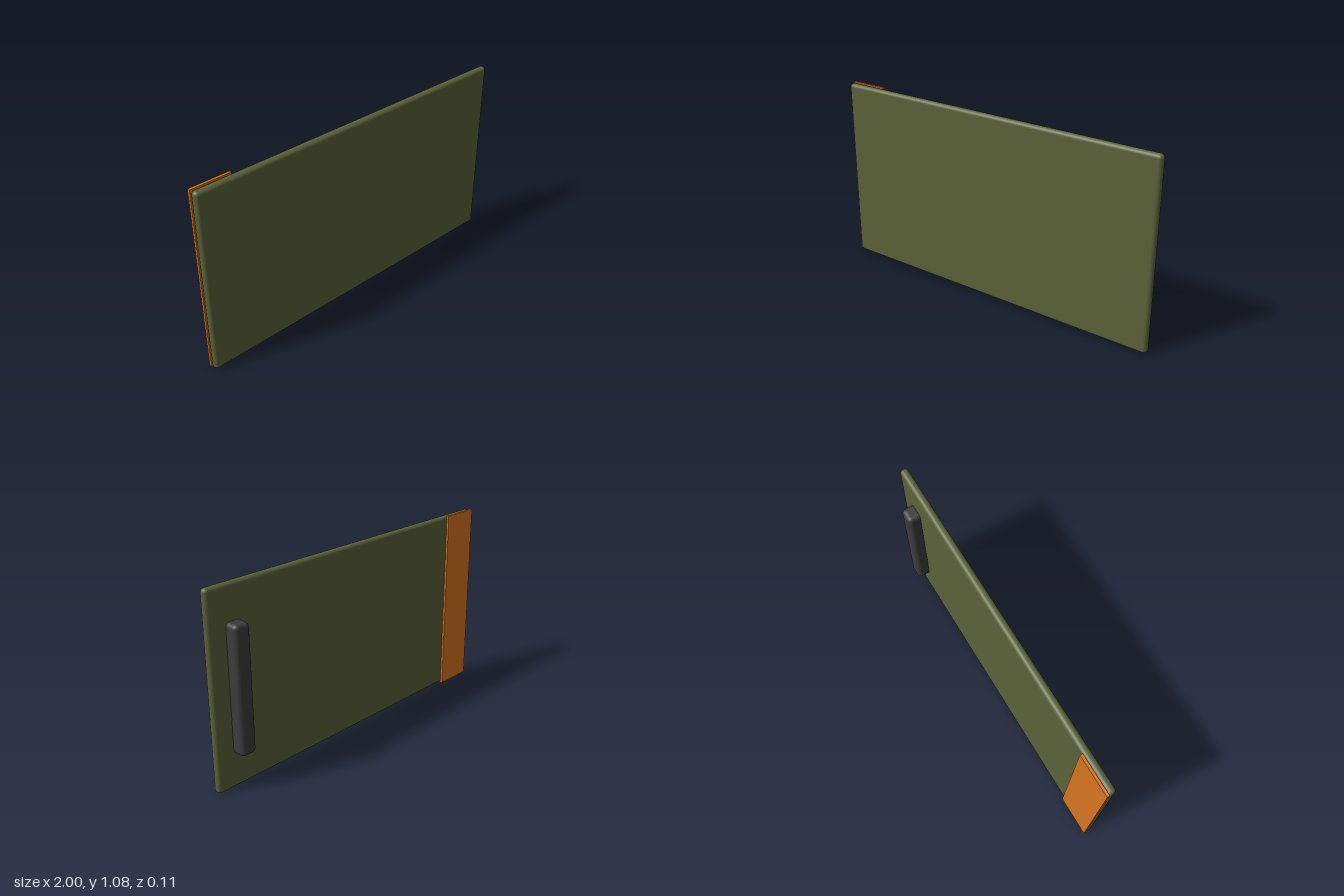
import * as THREE from 'three';
import { RoundedBoxGeometry } from 'three/addons/geometries/RoundedBoxGeometry.js';

// Places a geometry as a named, coloured mesh
function part(name, geometry, color, x, y, z) {
  const mesh = new THREE.Mesh(geometry, new THREE.MeshStandardMaterial({ color }));
  mesh.name = name;
  mesh.position.set(x, y, z);
  return mesh;
}

export function createModel() {
  const group = new THREE.Group();
  group.name = 'slidingPanel';

  // Large panel with softly rounded edges
  group.add(part('panel', new RoundedBoxGeometry(1.998, 1.074, 0.045, 4, 0.021), 0x5b623a, 0, 0.539, 0.035));

  // Flat strip along one edge of the back
  group.add(part('edgeStrip', new THREE.BoxGeometry(0.23, 1.078, 0.015), 0xd87520, -0.885, 0.539, 0.0075));

  // Upright grip, sunk into the back of the panel
  group.add(part('handle', new RoundedBoxGeometry(0.093, 0.695, 0.097, 4, 0.025), 0x3c3c3e, 0.846, 0.539, -0.0085));

  return group;
}
